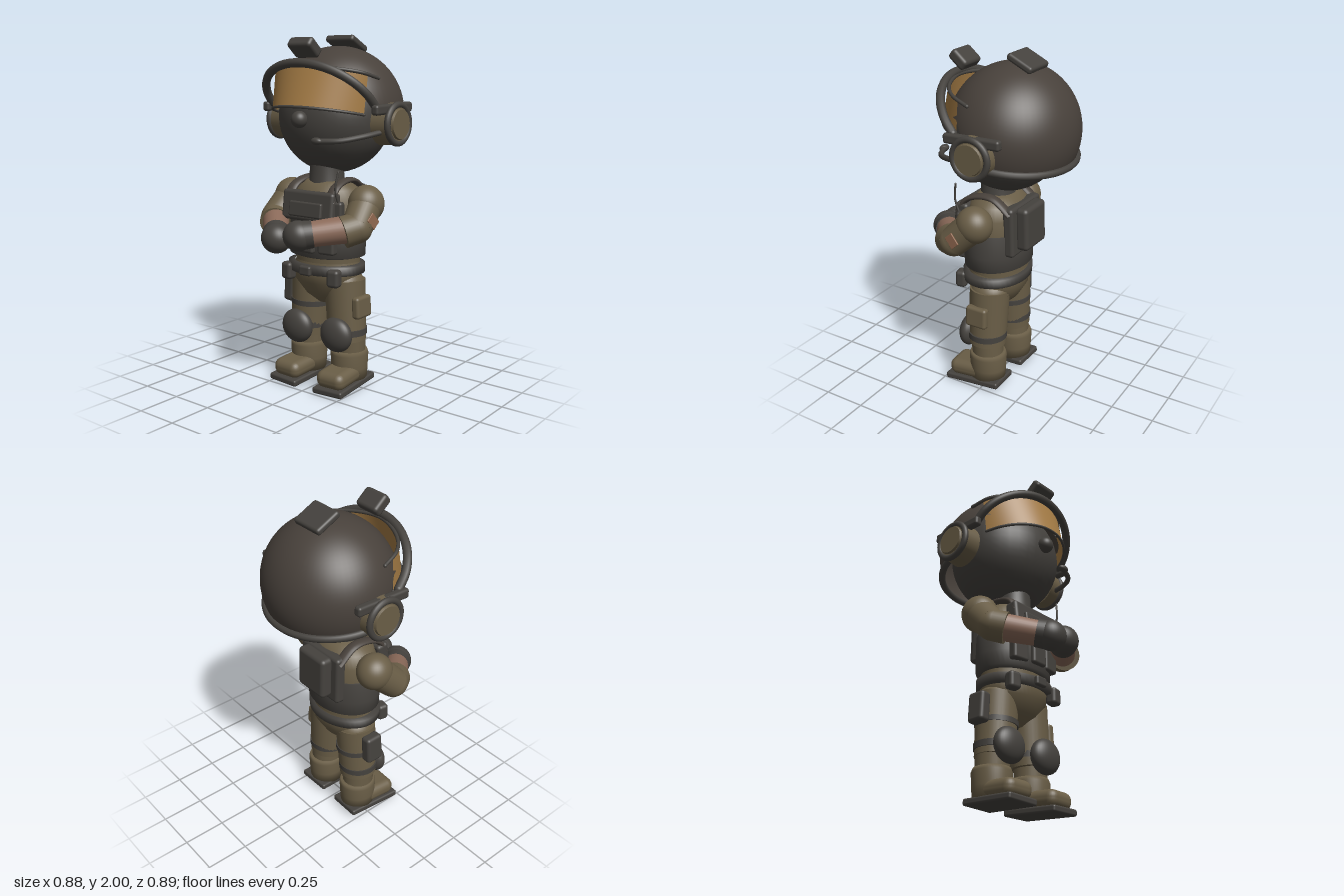
import * as THREE from 'three';
import { RoundedBoxGeometry } from 'three/addons/geometries/RoundedBoxGeometry.js';
import { ParametricGeometry } from 'three/addons/geometries/ParametricGeometry.js';

const flat = (name, color, side = THREE.FrontSide) => {
  const m = new THREE.MeshStandardMaterial({ color, side });
  m.name = name;
  return m;
};

export function createModel() {
  const model = new THREE.Group();
  const shell = flat('helmetBrown', 0x48413b, THREE.DoubleSide);
  const dark = flat('gearCharcoal', 0x45423e);
  const olive = flat('clothOlive', 0x6a5e47);
  const amber = flat('visorAmber', 0xa67d46, THREE.DoubleSide);
  const skin = flat('skin', 0x8c6b5a);
  const patchColour = flat('patchTan', 0x90684f);
  const V = (p) => new THREE.Vector3(...p);

  const add = (name, geo, mat, pos = [0, 0, 0], rot = [0, 0, 0], parent = model) => {
    const m = new THREE.Mesh(geo, mat);
    m.name = name;
    m.position.set(...pos);
    m.rotation.set(...rot);
    parent.add(m);
    return m;
  };
  const box = (name, size, mat, pos, rot, r = 0.016) =>
    add(name, new RoundedBoxGeometry(...size, 3, Math.min(r, Math.min(...size) * 0.45)), mat, pos, rot);
  const ball = (name, radii, mat, pos, rot) => {
    const m = add(name, new THREE.SphereGeometry(1, 36, 24), mat, pos, rot);
    m.scale.set(...radii);
    return m;
  };
  const tube = (name, pts, r, mat) => {
    const curve = new THREE.CatmullRomCurve3(pts.map(V));
    add(name, new THREE.TubeGeometry(curve, 48, r, 10), mat);
    for (const p of [pts[0], pts[pts.length - 1]]) ball(name + 'End', [r, r, r], mat, p);
  };
  // tapered limb between two points
  const limb = (name, a, b, ra, rb, mat) => {
    const d = V(b).sub(V(a));
    const m = add(name, new THREE.CylinderGeometry(rb, ra, d.length(), 32), mat);
    m.position.copy(V(a).addScaledVector(d, 0.5));
    m.quaternion.setFromUnitVectors(new THREE.Vector3(0, 1, 0), d.normalize());
    return m;
  };
  // round body section flattened from front to back
  const turned = (name, profile, mat, depth, pos = [0, 0, 0]) => {
    const pts = profile.map(([r, y]) => new THREE.Vector2(r, y));
    const m = add(name, new THREE.LatheGeometry(pts, 48), mat, pos);
    m.scale.z = depth;
    return m;
  };

  // Head and helmet, with the helmet cut higher over the face
  ball('maskedHead', [0.325, 0.32, 0.31], dark, [0, 1.55, -0.055]);
  ball('nose', [0.046, 0.046, 0.046], dark, [0.005, 1.545, 0.265]);
  const helmet = new ParametricGeometry((u, v, out) => {
    const a = u * Math.PI * 2;
    const front = THREE.MathUtils.smoothstep(Math.cos(a), 0, 0.5);
    const back = Math.max(0, -Math.cos(a));
    const low = 1.47 - 0.06 * back + 0.21 * front;
    const t = v * Math.acos((low - 1.57) / 0.37);
    out.set(0.38 * Math.sin(t) * Math.sin(a), 1.57 + 0.37 * Math.cos(t),
      -0.085 + 0.36 * Math.sin(t) * Math.cos(a));
  }, 64, 28);
  // reverse winding if the surface faces inward
  const idx = helmet.index.array, hp = helmet.attributes.position;
  const k = Math.floor(idx.length / 6) * 3;
  const [p0, p1, p2] = [0, 1, 2].map((i) => new THREE.Vector3().fromBufferAttribute(hp, idx[k + i]));
  const faceOut = p1.clone().sub(p0).cross(p2.clone().sub(p0)).dot(p0.clone().sub(new THREE.Vector3(0, 1.57, -0.085)));
  if (faceOut < 0) {
    for (let i = 0; i < idx.length; i += 3) [idx[i], idx[i + 2]] = [idx[i + 2], idx[i]];
    helmet.computeVertexNormals();
  }
  add('helmet', helmet, shell);

  const arc = (f, n = 13) => Array.from({ length: n }, (_, i) => f(Math.PI * i / (n - 1)));
  tube('helmetRearRim', arc((t) => [0.375 * Math.cos(t), 1.46 - 0.045 * Math.sin(t), -0.07 - 0.35 * Math.sin(t)]), 0.02, dark);
  tube('goggleBrow', arc((t) => [-0.365 * Math.cos(t), 1.62 + 0.225 * Math.sin(t), 0.07 + 0.205 * Math.sin(t)]), 0.024, dark);
  tube('visorTopRim', [[-0.335, 1.765, 0], [-0.3, 1.795, 0.11], [-0.2, 1.815, 0.2], [0, 1.83, 0.26],
    [0.2, 1.815, 0.2], [0.3, 1.795, 0.11], [0.335, 1.765, 0]], 0.01, dark);
  const visorPoint = (a, v) => [
    (0.335 - 0.01 * (1 - v)) * Math.sin(a),
    THREE.MathUtils.lerp(1.55 + 0.065 * Math.cos(a), 1.755 + 0.07 * Math.cos(a), v),
    -0.03 + (0.35 - 0.055 * v) * Math.cos(a)];
  add('visor', new ParametricGeometry((u, v, out) => out.set(...visorPoint((u - 0.5) * 2.45, v)), 40, 8), amber);
  tube('visorLowerRim', Array.from({ length: 13 }, (_, i) => visorPoint((i / 12 - 0.5) * 2.45, 0)), 0.008, dark);
  box('frontMount', [0.16, 0.065, 0.115], dark, [0.01, 1.925, 0.225], [-0.7, 0, 0], 0.02);
  box('rearMount', [0.195, 0.04, 0.16], dark, [0, 1.952, -0.16], [-0.45, 0, 0]);

  // Ear defenders with side rails
  for (const s of [-1, 1]) {
    const cup = new THREE.Group();
    cup.name = 'earDefender';
    cup.position.set(s * 0.375, 1.52, -0.068);
    cup.rotation.y = s * Math.PI / 2;
    model.add(cup);
    add('earCup', new THREE.CylinderGeometry(0.108, 0.12, 0.11, 36), olive, [0, 0, 0], [Math.PI / 2, 0, 0], cup);
    add('earRing', new THREE.TorusGeometry(0.104, 0.018, 12, 40), dark, [0, 0, 0.045], [0, 0, 0], cup);
    add('earCap', new THREE.CylinderGeometry(0.08, 0.088, 0.02, 36), olive, [0, 0, 0.057], [Math.PI / 2, 0, 0], cup);
    box('sideRail', [0.045, 0.055, 0.34], dark, [s * 0.385, 1.603, -0.06], [0.03, 0, 0], 0.015);
  }
  tube('microphoneBoom', [[0.375, 1.48, 0.02], [0.33, 1.46, 0.13], [0.25, 1.44, 0.23], [0.14, 1.435, 0.285]], 0.015, dark);
  ball('microphone', [0.035, 0.02, 0.022], dark, [0.14, 1.437, 0.285]);

  // Trunk
  turned('neck', [[0.115, 1.15], [0.1, 1.19], [0.095, 1.3]], dark, 1, [0, 0, 0.02]);
  turned('shirt', [[0.2, 0.7], [0.2, 0.8], [0.225, 0.96], [0.22, 1.08], [0.19, 1.15], [0.13, 1.195], [0.02, 1.205]], olive, 0.78, [0, 0, 0.01]);
  turned('vest', [[0.2, 0.765], [0.235, 0.775], [0.238, 0.86], [0.235, 0.99], [0.21, 1.0]], dark, 0.78, [0, 0, 0.015]);
  turned('pelvis', [[0.005, 0.475], [0.06, 0.485], [0.14, 0.54], [0.2, 0.62], [0.21, 0.68], [0.2, 0.74]], olive, 0.8, [0, 0, 0.015]);
  turned('belt', [[0.2, 0.672], [0.235, 0.676], [0.237, 0.725], [0.2, 0.73]], dark, 0.8, [0, 0, 0.022]);
  box('chestPlate', [0.36, 0.17, 0.08], dark, [0, 1.06, 0.165], [-0.12, 0, 0], 0.02);
  box('chestPanel', [0.23, 0.085, 0.03], dark, [0, 1.045, 0.208], [-0.12, 0, 0], 0.01);
  for (const x of [-0.12, 0, 0.12]) box('magazinePouch', [0.105, 0.13, 0.06], dark, [x, 0.865, 0.19 - Math.abs(x) * 0.2], [0, x, 0]);
  box('backPlate', [0.32, 0.29, 0.065], dark, [0, 1.015, -0.135], [0.03, 0, 0], 0.02);
  box('backPack', [0.22, 0.25, 0.08], dark, [0, 1.03, -0.192], [0.03, 0, 0], 0.025);
  box('radio', [0.055, 0.12, 0.05], dark, [0.185, 1.04, 0.15], [0, 0.2, 0]);
  tube('antenna', [[0.19, 1.09, 0.16], [0.19, 1.17, 0.187], [0.2, 1.265, 0.175]], 0.006, dark);
  for (const x of [-0.165, 0.165]) {
    box('beltPouch', [0.075, 0.1, 0.065], dark, [x, 0.67, 0.165], [0, x, 0], 0.02);
    // shoulder strap swept over the shoulder
    const strap = new THREE.CatmullRomCurve3([[x * 0.9, 1.09, 0.185], [x * 0.88, 1.16, 0.14], [x * 0.85, 1.195, 0.06],
      [x * 0.85, 1.195, -0.04], [x * 0.85, 1.12, -0.145]].map(V));
    const rows = 24;
    add('shoulderStrap', new ParametricGeometry((u, v, out) => {
      strap.getPoint(v, out);
      const t = strap.getTangent(v), a = u * Math.PI * 2;
      out.x += 0.033 * Math.cos(a);
      out.y += 0.016 * Math.sin(a) * -t.z;
      out.z += 0.016 * Math.sin(a) * t.y;
    }, 16, rows), shell);
  }
  box('buckle', [0.08, 0.055, 0.03], dark, [0, 0.7, 0.215], [0, 0, 0], 0.012);

  // Folded arms with rolled sleeves and gloves
  for (const s of [-1, 1]) {
    const shoulder = [s * 0.268, 1.08, 0.01], elbow = [s * 0.292, 0.965, 0.13];
    const hand = s < 0 ? [-0.08, 0.9, 0.365] : [0.055, 0.925, 0.34];
    const cuff = [s * 0.245, 0.945, 0.19];
    ball('shoulder', [0.1, 0.105, 0.105], olive, shoulder);
    limb('sleeve', shoulder, elbow, 0.094, 0.086, olive);
    ball('elbow', [0.086, 0.086, 0.086], olive, elbow);
    limb('sleeveCuff', elbow, cuff, 0.086, 0.088, olive);
    limb('forearm', elbow, hand, 0.078, 0.068, skin);
    limb('gloveCuff', V(hand).lerp(V(elbow), 0.25).toArray(), hand, 0.076, 0.08, dark);
    ball('glove', [0.088, 0.084, 0.08], dark, hand);
  }
  box('sleevePatch', [0.009, 0.075, 0.06], patchColour, [0.372, 1.005, 0.09], [0.75, -0.05, 0.1], 0.003);

  // Legs, knee pads and boots
  for (const s of [-1, 1]) {
    const x = s * 0.15;
    limb('thigh', [s * 0.118, 0.63, 0.005], [s * 0.14, 0.28, 0.01], 0.118, 0.11, olive);
    ball('hip', [0.116, 0.09, 0.118], olive, [s * 0.112, 0.61, 0.005]);
    limb('kneeStrap', [s * 0.14, 0.355, 0.01], [s * 0.14, 0.32, 0.01], 0.115, 0.115, dark);
    ball('kneePad', [0.105, 0.1, 0.058], dark, [s * 0.143, 0.33, 0.118]);
    limb('shin', [x, 0.15, 0], [x, 0.3, 0.005], 0.09, 0.095, olive);
    turned('bootShaft', [[0.02, 0.05], [0.1, 0.05], [0.104, 0.12], [0.108, 0.2], [0.1, 0.222], [0.02, 0.225]], olive, 1.04, [x, 0, 0]);
    box('bootToe', [0.185, 0.1, 0.24], olive, [s * 0.157, 0.09, 0.105], [0.08, s * 0.04, 0], 0.045);
    box('sole', [0.2, 0.038, 0.35], dark, [s * 0.157, 0.034, 0.062], [0.07, s * 0.04, s * 0.03], 0.012);
  }
  limb('thighStrap', [-0.125, 0.485, 0.007], [-0.126, 0.455, 0.007], 0.12, 0.12, dark);
  box('holster', [0.07, 0.17, 0.11], dark, [-0.262, 0.53, 0.01], [0, 0, -0.06], 0.02);
  box('thighPouch', [0.05, 0.125, 0.135], olive, [0.245, 0.49, 0.015], [0, 0, 0.06], 0.018);

  return model;
}
